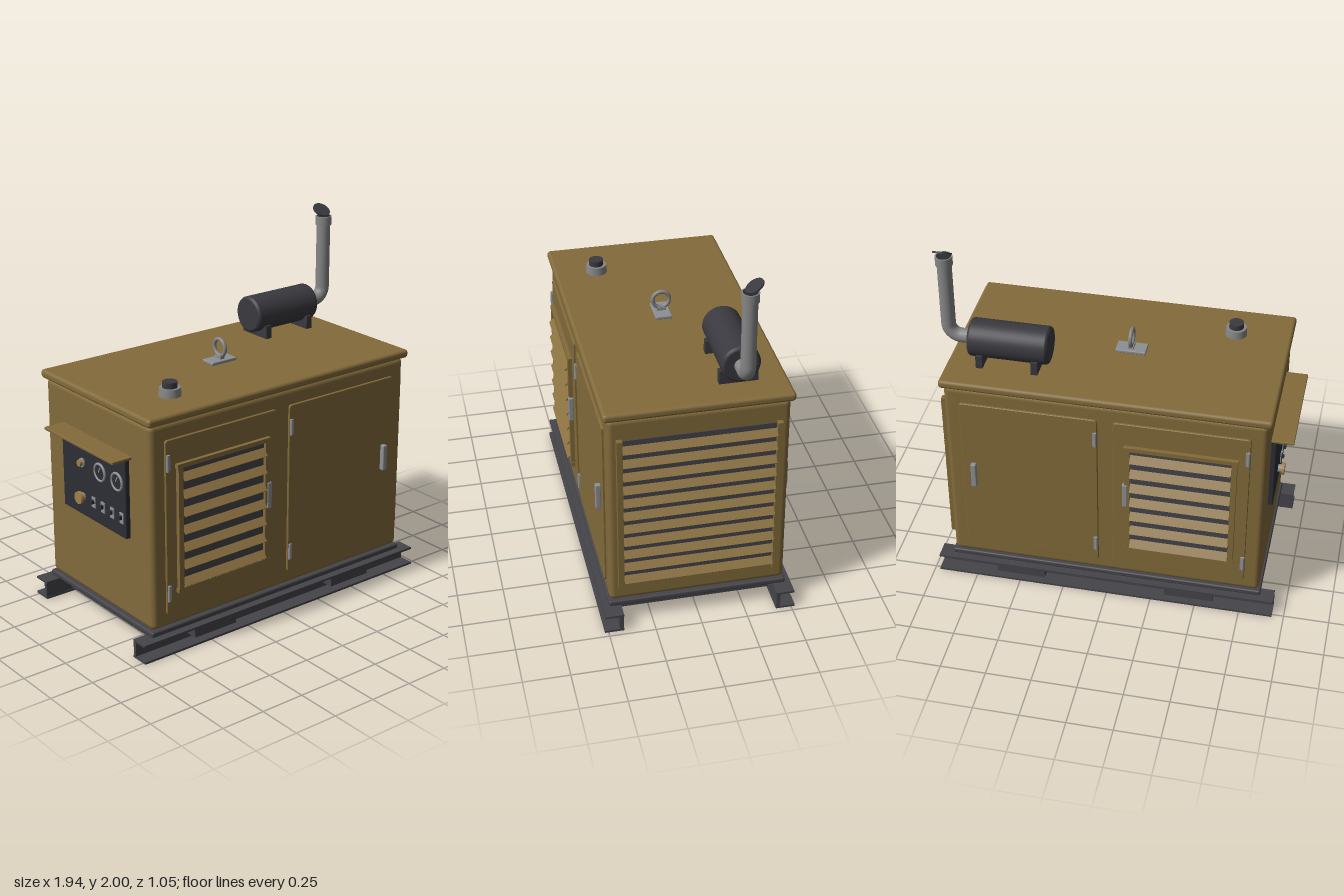
import * as THREE from 'three';
import { RoundedBoxGeometry } from 'three/addons/geometries/RoundedBoxGeometry.js';

const paint = (name, color) => {
  const m = new THREE.MeshStandardMaterial({ color });
  m.name = name;
  return m;
};

export function createModel() {
  const M = {
    tan: paint('tan paint', 0x836b3b),
    slat: paint('light tan slats', 0x8b7140),
    frame: paint('dark grey steel', 0x45444a),
    black: paint('charcoal', 0x3a393f),
    panel: paint('panel black', 0x2c2e34),
    steel: paint('bright steel', 0x8d9094),
    pipe: paint('pipe grey', 0x868686),
    brass: paint('brass', 0xa08048),
  };
  const root = new THREE.Group();
  root.name = 'generator';

  const add = (name, geo, mat, x = 0, y = 0, z = 0, parent = root) => {
    const mesh = new THREE.Mesh(geo, mat);
    mesh.name = name;
    mesh.position.set(x, y, z);
    parent.add(mesh);
    return mesh;
  };
  // box given by its limits
  const box = (name, mat, x0, x1, y0, y1, z0, z1, parent = root, r = 0) => {
    const s = [x1 - x0, y1 - y0, z1 - z0];
    const geo = r ? new RoundedBoxGeometry(...s, 4, r) : new THREE.BoxGeometry(...s);
    return add(name, geo, mat, (x0 + x1) / 2, (y0 + y1) / 2, (z0 + z1) / 2, parent);
  };
  const cyl = (name, mat, r, h, x, y, z, parent = root, r2 = r) =>
    add(name, new THREE.CylinderGeometry(r, r2, h, 32), mat, x, y, z, parent);
  const group = (name, parent = root) => {
    const g = new THREE.Group();
    g.name = name;
    parent.add(g);
    return g;
  };

  // skid: two outward-facing channels, cross members and fork pockets
  const skid = group('skid');
  for (const s of [1, -1]) {
    const rail = (name, y0, y1, a, b) =>
      box(name, M.frame, -0.935, 0.97, y0, y1, Math.min(s * a, s * b), Math.max(s * a, s * b), skid);
    rail('skidWeb', 0.01, 0.095, 0.418, 0.438);
    rail('skidTopFlange', 0.093, 0.105, 0.415, 0.515);
    rail('skidBottomFlange', 0, 0.012, 0.415, 0.52);
  }
  for (const x of [-0.725, 0.015, 0.76])
    box('crossMember', M.frame, x - 0.04, x + 0.04, 0.018, 0.1, -0.42, 0.42, skid);
  for (const x of [-0.4625, 0.495])
    box('forkPocket', M.frame, x - 0.137, x + 0.137, 0.038, 0.096, -0.505, 0.505, skid);

  // enclosure
  box('plinth', M.frame, -0.86, 0.895, 0.108, 0.14, -0.482, 0.482, root, 0.01);
  box('body', M.tan, -0.85, 0.885, 0.14, 1.28, -0.475, 0.475, root, 0.03);
  box('roof', M.tan, -0.87, 0.905, 1.278, 1.325, -0.495, 0.495, root, 0.018);

  // louvre panel facing +z: dark backing, frame and sloping slats
  const louvre = (x0, x1, y0, y1, depth, slats, slatH, first, pitch) => {
    const g = new THREE.Group();
    g.name = 'louvre';
    box('louvreBacking', M.frame, x0, x1, y0, y1, 0, 0.006, g);
    for (const [a, b] of [[x0 - 0.03, x0], [x1, x1 + 0.03]])
      box('louvrePost', M.tan, a, b, y0 - 0.01, y1 + 0.01, 0, depth, g);
    for (let i = 0; i < slats; i++) {
      const slat = box('slat', M.slat, x0, x1, -slatH / 2, slatH / 2, -0.004, 0.004, g);
      slat.position.set((x0 + x1) / 2, first - i * pitch, depth * 0.85);
      slat.rotation.x = -0.75;
    }
    return g;
  };

  // door leaf with rounded corners
  const doorLeaf = (x0, x1, y0, y1) => {
    const r = 0.02, s = new THREE.Shape();
    s.moveTo(x0 + r, y0);
    s.lineTo(x1 - r, y0).quadraticCurveTo(x1, y0, x1, y0 + r);
    s.lineTo(x1, y1 - r).quadraticCurveTo(x1, y1, x1 - r, y1);
    s.lineTo(x0 + r, y1).quadraticCurveTo(x0, y1, x0, y1 - r);
    s.lineTo(x0, y0 + r).quadraticCurveTo(x0, y0, x0 + r, y0);
    return new THREE.ExtrudeGeometry(s, {
      depth: 0.012, bevelEnabled: true, bevelSize: 0.003, bevelThickness: 0.003, bevelOffset: -0.003, bevelSegments: 1,
    });
  };

  // one long side, repeated mirrored on the back
  const doors = (s) => {
    const side = group(s > 0 ? 'frontDoors' : 'backDoors');
    const place = (o, x, y, z) => { o.position.set(x, y, z * s); if (s < 0) o.rotation.y = Math.PI; side.add(o); };
    for (const [x0, x1, handleX, hingeX] of [[-0.765, -0.035, -0.103, -0.75], [0.05, 0.8, 0.735, 0.065]]) {
      const w = (x1 - x0) / 2, cx = (x0 + x1) / 2;
      const leaf = new THREE.Mesh(doorLeaf(-w, w, 0.215, 1.19), M.tan);
      leaf.name = 'door';
      place(leaf, cx, 0, 0.472);
      const fitting = (name, geo, x, y, z) => {
        const m = new THREE.Mesh(geo, M.steel);
        m.name = name;
        place(m, x, y, z);
      };
      fitting('handle', new RoundedBoxGeometry(0.03, 0.15, 0.03, 2, 0.006), handleX, 0.725, 0.5);
      for (const y of [0.34, 1.068]) {
        fitting('hinge', new THREE.BoxGeometry(0.02, 0.085, 0.012), hingeX, y, 0.488);
        fitting('hingePin', new THREE.CylinderGeometry(0.008, 0.008, 0.09, 12), hingeX - 0.006, y, 0.493);
      }
    }
    const vent = louvre(-0.27, 0.27, 0.355, 1.03, 0.024, 7, 0.05, 0.978, 0.0985);
    for (const y of [0.345, 1.042])
      box('louvreRail', M.tan, -0.305, 0.305, y - 0.012, y + 0.012, 0, 0.024, vent);
    place(vent, -0.4, 0, 0.486);
  };
  doors(1);
  doors(-1);

  // radiator louvre on the +x end
  const radiator = louvre(-0.4, 0.4, 0.245, 1.155, 0.03, 11, 0.046, 1.11, 0.082);
  radiator.name = 'radiatorLouvre';
  radiator.rotation.y = Math.PI / 2;
  radiator.position.x = 0.884;
  root.add(radiator);

  // control panel on the -x end
  const panel = group('controlPanel');
  box('panelPlate', M.panel, -0.877, -0.845, 0.61, 1.05, -0.29, 0.29, panel, 0.006);
  box('panelHood', M.tan, -0.97, -0.845, 1.056, 1.072, -0.315, 0.315, panel, 0.004);
  const dial = (name, mat, r, depth, y, z, start = 0.875) => {
    cyl(name, mat, r, depth, -start - depth / 2, y, z, panel).rotation.z = Math.PI / 2;
  };
  for (const z of [0.07, 0.225]) {
    dial('gaugeFace', M.panel, 0.045, 0.01, 0.915, z);
    add('gaugeRing', new THREE.TorusGeometry(0.046, 0.007, 10, 36), M.steel, -0.884, 0.915, z, panel).rotation.y = Math.PI / 2;
    const needle = box('needle', M.steel, -0.888, -0.885, 0.91, 0.945, z - 0.003, z + 0.003, panel);
    needle.rotation.x = 0.5;
  }
  dial('lampBase', M.steel, 0.025, 0.012, 0.915, -0.1);
  dial('lamp', M.brass, 0.018, 0.018, 0.915, -0.1, 0.885);
  dial('stopButtonBase', M.steel, 0.022, 0.022, 0.72, -0.1);
  dial('stopButton', M.brass, 0.034, 0.018, 0.72, -0.1, 0.895);
  for (const z of [0.0, 0.085, 0.17, 0.255]) {
    box('switchPlate', M.steel, -0.882, -0.874, 0.69, 0.75, z - 0.017, z + 0.017, panel);
    box('switchLever', M.panel, -0.897, -0.88, 0.715, 0.735, z - 0.008, z + 0.008, panel);
  }

  // fuel filler
  cyl('fillerNeck', M.pipe, 0.056, 0.045, -0.565, 1.347, 0.26, root, 0.06);
  cyl('fillerCap', M.black, 0.04, 0.035, -0.565, 1.383, 0.26);

  // lifting eye
  const eye = group('liftingEye');
  box('eyePlate', M.steel, -0.12, 0.045, 1.325, 1.343, -0.045, 0.045, eye, 0.005);
  box('eyeFoot', M.steel, -0.052, -0.022, 1.34, 1.36, -0.025, 0.025, eye);
  add('eyeRing', new THREE.TorusGeometry(0.046, 0.011, 14, 40), M.pipe, -0.037, 1.404, 0, eye).rotation.y = Math.PI / 2;

  // exhaust: silencer, brackets, bent pipe and rain flap
  const exhaust = group('exhaust');
  const cz = -0.235, cy = 1.455;
  const profile = [[0, -0.218], [0.088, -0.218], [0.098, -0.214], [0.103, -0.204],
    [0.103, 0.204], [0.098, 0.214], [0.088, 0.218], [0, 0.218]].map(([r, y]) => new THREE.Vector2(r, y));
  // split the profile into caps and shell so the edges stay crisp
  for (const [a, b, name] of [[0, 2, 'silencerCap'], [1, 4, 'silencerRim'], [3, 5, 'silencerShell'], [4, 7, 'silencerRim'], [6, 8, 'silencerCap']])
    add(name, new THREE.LatheGeometry(profile.slice(a, b), 40), M.black, 0.568, cy, cz, exhaust).rotation.z = -Math.PI / 2;
  for (const x of [0.42, 0.72])
    box('silencerBracket', M.black, x - 0.018, x + 0.018, 1.325, 1.4, cz - 0.102, cz + 0.102, exhaust);

  const path = new THREE.CurvePath();
  const v = (x, y) => new THREE.Vector3(x, y, cz);
  path.add(new THREE.LineCurve3(v(0.77, cy), v(0.835, cy)));
  path.add(new THREE.CubicBezierCurve3(v(0.835, cy), v(0.874, cy), v(0.905, cy + 0.031), v(0.905, cy + 0.07)));
  path.add(new THREE.LineCurve3(v(0.905, cy + 0.07), v(0.905, 1.93)));
  add('exhaustPipe', new THREE.TubeGeometry(path, 80, 0.039, 24), M.pipe, 0, 0, 0, exhaust);
  cyl('pipeCollar', M.pipe, 0.046, 0.05, 0.905, 1.915, cz, exhaust);
  cyl('pipeMouth', M.panel, 0.038, 0.004, 0.905, 1.94, cz, exhaust);
  cyl('rainFlap', M.black, 0.051, 0.008, 0.905, 1.97, -0.255, exhaust).rotation.x = 0.56;

  return root;
}
